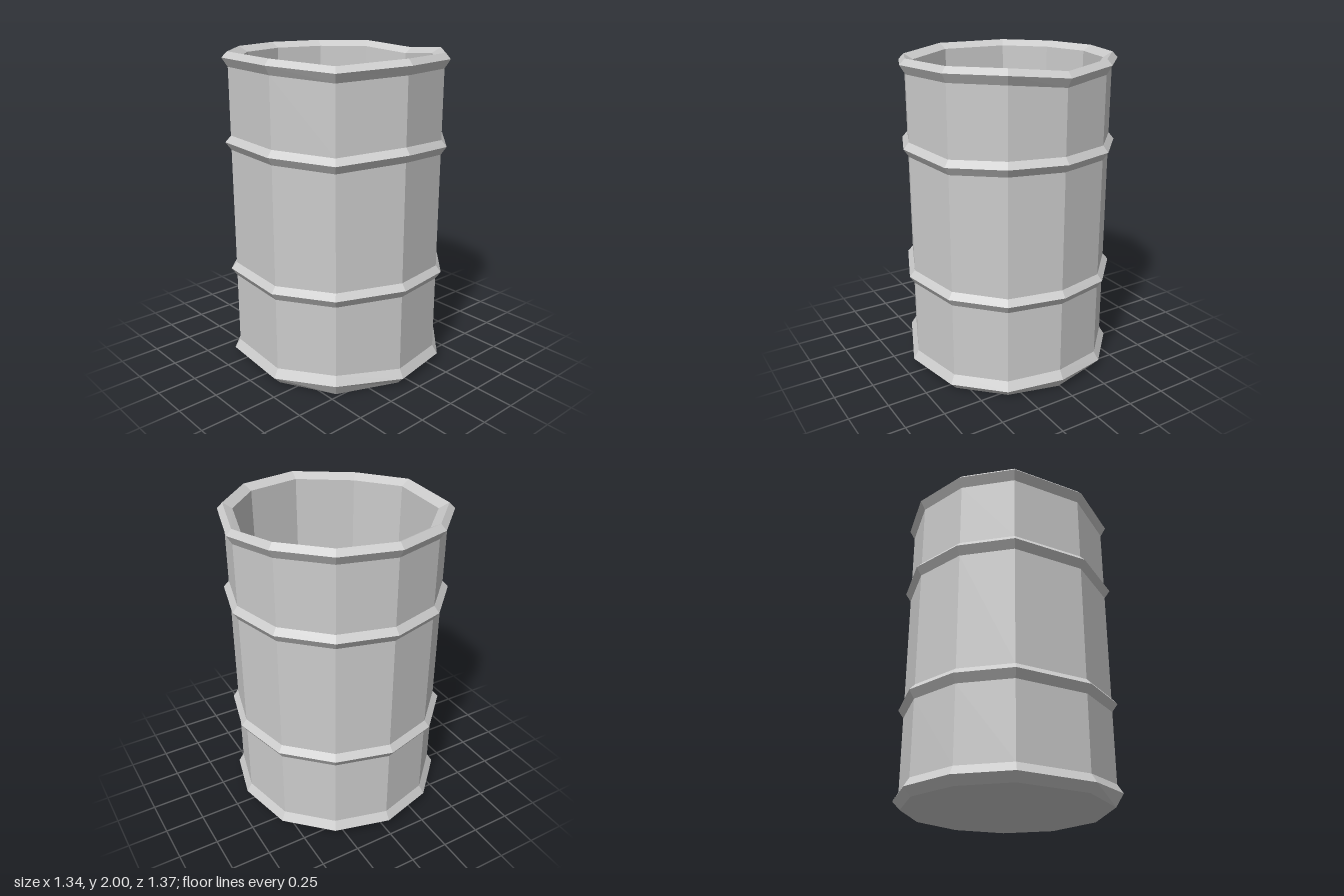
import * as THREE from 'three';

// Uneven eleven-sided outline (x, z), at the widest point of the hoops
const OUTLINE = [
  [-0.03, -0.685], [0.32, -0.59], [0.575, -0.34], [0.665, 0.01], [0.575, 0.355], [0.32, 0.61],
  [-0.075, 0.68], [-0.48, 0.51], [-0.67, 0.15], [-0.63, -0.34], [-0.375, -0.59],
];
const N = OUTLINE.length;

// Hand-made wobble in height of each hoop, per corner
const FLAT = new Array(N).fill(0);
const BASE = [0, 0, 0, 0.02, 0, 0, 0, 0.03, 0, 0, 0];
const LOWER = [0, 0, 0, 0.01, 0, 0.01, 0.02, 0.015, 0, 0, 0];
const UPPER = [0, 0, 0, 0, 0, -0.01, 0.015, -0.015, 0, 0, 0];
const RIM = [0, 0, 0, -0.03, 0, 0, 0, -0.025, 0, 0, 0];

// Skin between successive [scale, y, wobble] loops; scale 0 closes to a point
function skin(name, material, loops) {
  const pos = [];
  const point = ([s, y, wobble], i) => {
    const k = i % N;
    return [OUTLINE[k][0] * s, y + wobble[k], OUTLINE[k][1] * s];
  };
  for (let j = 0; j < loops.length - 1; j++) {
    const from = loops[j], to = loops[j + 1];
    for (let i = 0; i < N; i++) {
      const a = point(from, i), b = point(from, i + 1);
      const c = point(to, i + 1), d = point(to, i);
      if (to[0] > 0) pos.push(...a, ...d, ...c);
      if (from[0] > 0) pos.push(...a, ...c, ...b);
    }
  }
  const geometry = new THREE.BufferGeometry();
  geometry.setAttribute('position', new THREE.Float32BufferAttribute(pos, 3));
  geometry.computeVertexNormals();
  const mesh = new THREE.Mesh(geometry, material);
  mesh.name = name;
  return mesh;
}

// Ridge standing out from the wall around height y
const ridge = (y, wobble) => [[0.95, y - 0.05, wobble], [1, y, wobble], [0.95, y + 0.04, wobble]];

export function createModel() {
  const group = new THREE.Group();
  group.name = 'barrel';
  const material = new THREE.MeshStandardMaterial({ color: 0xcccccc, flatShading: true });

  const base = [[0.93, 0, FLAT], [1, 0.05, BASE], [0.95, 0.105, BASE]];
  const lower = ridge(0.622, LOWER);
  const upper = ridge(1.455, UPPER);
  const rim = [[0.95, 1.91, RIM], [1, 1.965, RIM], [0.95, 2, RIM], [0.865, 1.965, RIM]];
  const floor = [0.83, 0.08, FLAT];

  group.add(
    skin('underside', material, [[0, 0, FLAT], base[0]]),
    skin('baseHoop', material, base),
    skin('lowerWall', material, [base[2], lower[0]]),
    skin('lowerHoop', material, lower),
    skin('middleWall', material, [lower[2], upper[0]]),
    skin('upperHoop', material, upper),
    skin('upperWall', material, [upper[2], rim[0]]),
    skin('rim', material, rim),
    skin('innerWall', material, [rim[3], floor]),
    skin('floor', material, [floor, [0, 0.08, FLAT]]),
  );
  return group;
}
